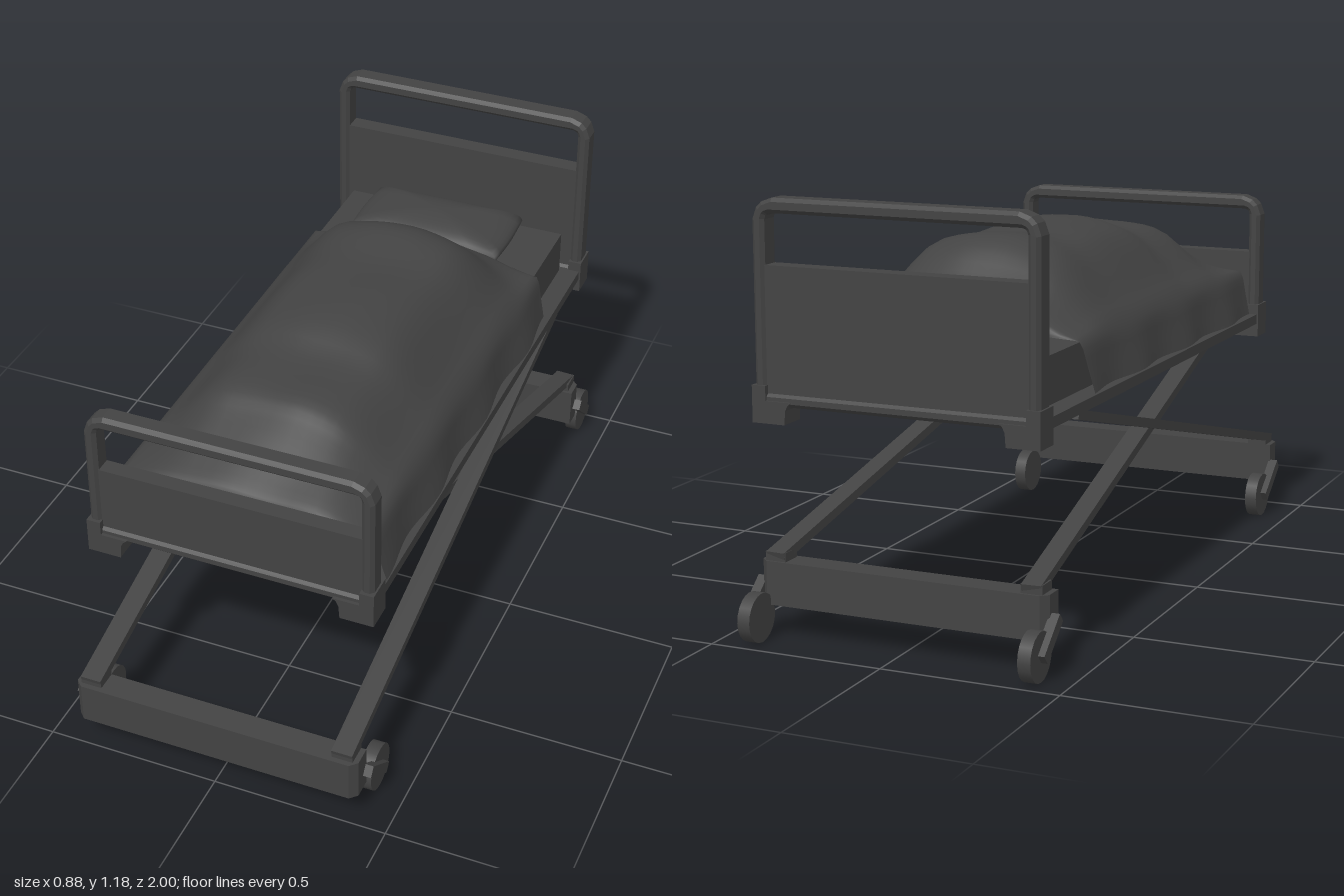
import * as THREE from 'three';

const charcoal = new THREE.MeshStandardMaterial({ color: 0x434343, side: THREE.DoubleSide });
charcoal.name = 'charcoal';

export function createModel() {
  const bed = new THREE.Group();
  bed.name = 'adjustableBed';

  const add = (name, geometry, parent = bed) => {
    const mesh = new THREE.Mesh(geometry, charcoal);
    mesh.name = name;
    parent.add(mesh);
    return mesh;
  };
  // Box given by its limits on each axis
  const box = (name, x0, x1, y0, y1, z0, z1, parent) => {
    const mesh = add(name, new THREE.BoxGeometry(x1 - x0, y1 - y0, z1 - z0), parent);
    mesh.position.set((x0 + x1) / 2, (y0 + y1) / 2, (z0 + z1) / 2);
    return mesh;
  };
  // Straight rectangular bar between two points
  const bar = (name, from, to, width, thickness) => {
    const a = new THREE.Vector3(...from), b = new THREE.Vector3(...to);
    const mesh = add(name, new THREE.BoxGeometry(width, thickness, a.distanceTo(b)));
    mesh.position.copy(a).add(b).multiplyScalar(0.5);
    mesh.lookAt(b);
    return mesh;
  };
  const polygon = (points) => points.map(([x, y]) => new THREE.Vector2(x, y));

  // Rectangle with softened top corners
  const archOutline = (w, y0, y1, c) => polygon([
    [-w, y0], [w, y0], [w, y1 - c], [w - c * 0.2, y1 - c * 0.45], [w - c * 0.45, y1 - c * 0.2], [w - c, y1],
    [-w + c, y1], [-w + c * 0.45, y1 - c * 0.2], [-w + c * 0.2, y1 - c * 0.45], [-w, y1 - c]]);

  // Head and foot boards: bevelled frame, thin panel, two corner brackets
  const addBoard = (name, z, top, depth) => {
    const board = new THREE.Group();
    board.name = name;
    bed.add(board);
    const bevel = 0.01;
    const frame = new THREE.Shape(archOutline(0.405 - bevel, 0.645, top - bevel, 0.05));
    frame.holes.push(new THREE.Path(archOutline(0.37 + bevel, 0.66, top - 0.04 + bevel, 0.025).reverse()));
    const geometry = new THREE.ExtrudeGeometry(frame, {
      depth: depth - 2 * bevel, bevelEnabled: true, bevelSize: bevel, bevelThickness: bevel, bevelSegments: 1,
    });
    geometry.translate(0, 0, z - depth / 2 + bevel);
    add('boardFrame', geometry, board);
    box('boardPanel', -0.375, 0.375, 0.645, top - 0.175, z - depth / 2 + 0.008, z + depth / 2 - 0.008, board);
    for (const s of [-1, 1]) {
      const bracket = new THREE.Shape(polygon([
        [0.41, 0.59], [0.41, 0.69], [0.37, 0.69], [0.37, 0.65], [0.295, 0.65],
        [0.305, 0.642], [0.312, 0.628], [0.315, 0.59]].map(([x, y]) => [x * s, y])));
      const g = new THREE.ExtrudeGeometry(bracket, { depth: 0.08, bevelEnabled: false });
      g.translate(0, 0, z - 0.04);
      add('cornerBracket', g, board);
    }
  };
  addBoard('footboard', 0.828, 1.03, 0.062);
  addBoard('headboard', -0.873, 1.18, 0.068);

  // Platform and mattress
  box('platform', -0.405, 0.405, 0.63, 0.66, -0.84, 0.79);
  box('mattress', -0.345, 0.345, 0.66, 0.79, -0.82, 0.775);

  // Pillow: a sphere squared off in plan
  const pillowGeometry = new THREE.SphereGeometry(1, 32, 20);
  const p = pillowGeometry.attributes.position;
  for (let i = 0; i < p.count; i++) {
    const x = p.getX(i), y = p.getY(i), z = p.getZ(i);
    const big = Math.max(Math.abs(x), Math.abs(z));
    const k = big > 1e-5 ? Math.hypot(x, z) / big : 1;
    const square = 1 + (k - 1) * 0.92;
    p.setXYZ(i, x * square * 0.242, y * 0.058, z * square * 0.127);
  }
  pillowGeometry.computeVertexNormals();
  add('pillow', pillowGeometry).position.set(-0.005, 0.838, -0.652);

  // Blanket: domed cross-sections following a lengthwise ridge line, draped down the sides
  const ridge = new THREE.SplineCurve(polygon([
    [0.765, 0.8], [0.755, 0.825], [0.68, 0.87], [0.58, 0.93], [0.5, 0.973], [0.34, 0.985], [0.22, 1.02],
    [0.05, 1.022], [-0.13, 1.018], [-0.27, 1.03], [-0.36, 1.0], [-0.45, 0.92], [-0.53, 0.865], [-0.545, 0.81]]));
  const section = new THREE.SplineCurve(polygon([
    [-0.395, -1], [-0.378, -0.5], [-0.357, 0], [-0.3, 0.28], [-0.2, 0.8], [-0.1, 0.97], [0, 1],
    [0.1, 0.97], [0.2, 0.8], [0.3, 0.28], [0.357, 0], [0.378, -0.5], [0.395, -1]]));
  const rows = 52, cols = 36, vertices = [], faces = [];
  for (let i = 0; i <= rows; i++) {
    const { x: z, y: height } = ridge.getPoint(i / rows);
    for (let j = 0; j <= cols; j++) {
      const { x, y: t } = section.getPoint(j / cols);
      const hang = Math.max(0, -t), rise = Math.max(0, t);
      const fold = Math.sin(z * 17 + Math.sign(x) * 1.3) * 0.009 * hang;
      const ripple = 0.006 * Math.sin(z * 13 + x * 9) * Math.sin(x * 14 + 1) * rise;
      vertices.push(x + Math.sign(x) * fold,
        0.797 + rise * (height - 0.797) - hang * 0.133 + ripple,
        z + 0.006 * Math.sin(x * 15) * (z < -0.5 ? 1 : 0));
      if (i < rows && j < cols) {
        const a = i * (cols + 1) + j, c = a + cols + 1;
        faces.push(a, a + 1, c, a + 1, c + 1, c);
      }
    }
  }
  const blanket = new THREE.BufferGeometry();
  blanket.setAttribute('position', new THREE.Float32BufferAttribute(vertices, 3));
  blanket.setIndex(faces);
  blanket.computeVertexNormals();
  add('blanket', blanket);

  // Base cross bars with chamfered outer corners
  const addBaseBar = (name, zIn, zOut) => {
    const c = Math.sign(zOut) * 0.02;
    const outline = new THREE.Shape(polygon([
      [-0.415, zIn], [0.415, zIn], [0.415, zOut - c], [0.395, zOut], [-0.395, zOut], [-0.415, zOut - c]]));
    const g = new THREE.ExtrudeGeometry(outline, { depth: 0.12, bevelEnabled: false });
    g.rotateX(Math.PI / 2);
    g.translate(0, 0.21, 0);
    add(name, g);
  };
  addBaseBar('frontBaseBar', 0.925, 1.0);
  addBaseBar('rearBaseBar', -0.812, -0.887);

  for (const s of [-1, 1]) {
    // Scissor legs: one pair straight, the other pair tapering inward
    bar('straightLeg', [0.37 * s, 0.222, 0.985], [0.37 * s, 0.628, -0.645], 0.06, 0.026);
    bar('taperedLeg', [0.37 * s, 0.222, -0.88], [0.272 * s, 0.628, 0.765], 0.055, 0.026);

    // Leg mounts and trailing casters
    for (const [end, mountZ, armZ, wheelZ] of [['front', 0.955, 0.94, 0.838], ['rear', -0.85, -0.845, -0.933]]) {
      const x = 0.37 * s;
      box(end + 'LegMount', x - 0.03, x + 0.03, 0.205, 0.235, mountZ - 0.03, mountZ + 0.03);
      bar(end + 'CasterArm', [0.424 * s, 0.148, armZ], [0.424 * s, 0.064, wheelZ - 0.01], 0.028, 0.032);
      const wheel = add(end + 'CasterWheel', new THREE.CylinderGeometry(0.067, 0.067, 0.036, 20));
      wheel.rotation.z = Math.PI / 2;
      wheel.position.set(0.402 * s, 0.067, wheelZ);
    }
  }
  return bed;
}
